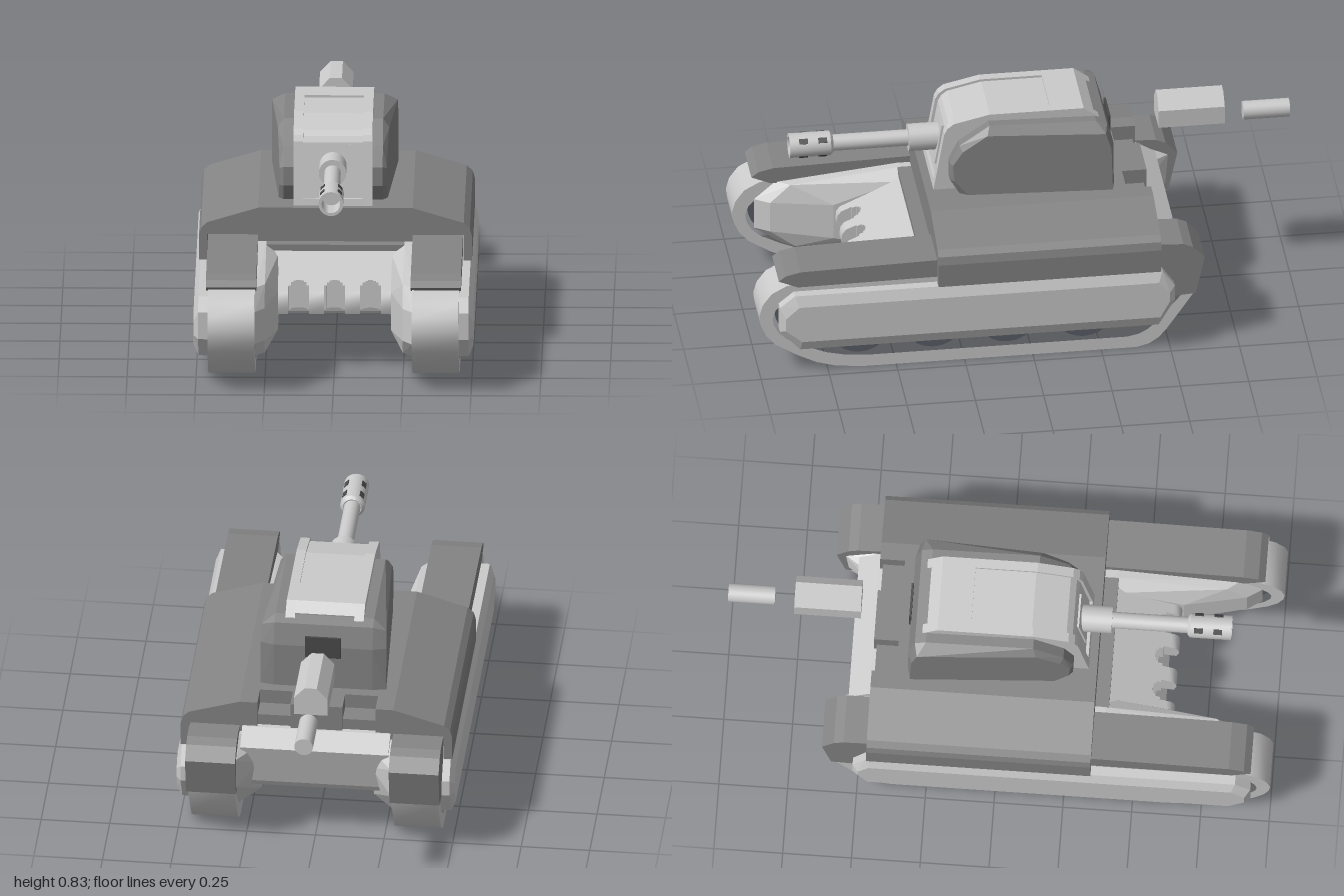
import * as THREE from 'three';
import { toCreasedNormals } from 'three/addons/utils/BufferGeometryUtils.js';
import { ConvexGeometry } from 'three/addons/geometries/ConvexGeometry.js';

const mat = (name, color) => {
  const m = new THREE.MeshStandardMaterial({ color });
  m.name = name;
  return m;
};

export function createModel() {
  const light = mat('light grey', 0xcacaca);
  const dark = mat('dark grey', 0x848484);
  const wheelGrey = mat('wheel grey', 0x5a6068);
  const black = mat('shadow grey', 0x4a4a4a);
  const model = new THREE.Group();
  const turret = new THREE.Group();
  turret.name = 'turret';
  turret.position.x = -0.01;
  model.add(turret);

  const add = (name, geo, material, parent = model) => {
    const m = new THREE.Mesh(geo, material);
    m.name = name;
    parent.add(m);
    return m;
  };
  const poly = pts => new THREE.Shape(pts.map(p => new THREE.Vector2(p[0], p[1])));
  // side profile of [z, y] points swept from x0 to x1
  const sweepX = (shape, x0, x1) => {
    const g = new THREE.ExtrudeGeometry(shape, { depth: x1 - x0, bevelEnabled: false });
    return g.rotateY(-Math.PI / 2).translate(x1, 0, 0);
  };
  // front profile of [x, y] points swept from z0 to z1
  const sweepZ = (pts, z0, z1) =>
    new THREE.ExtrudeGeometry(poly(pts), { depth: z1 - z0, bevelEnabled: false }).translate(0, 0, z0);
  // convex block through [x, [z, y] outline] sections
  const hull = sections => new ConvexGeometry(
    sections.flatMap(([x, pts]) => pts.map(([z, y]) => new THREE.Vector3(x, y, z))));
  const scaled = (pts, cz, cy, kz, ky) => pts.map(([z, y]) => [cz + (z - cz) * kz, cy + (y - cy) * ky]);
  const box = (w, h, d, x, y, z) => new THREE.BoxGeometry(w, h, d).translate(x, y, z);
  const rod = (r, z0, z1, y, seg = 24) =>
    new THREE.CylinderGeometry(r, r, z1 - z0, seg).rotateX(Math.PI / 2).translate(0, y, (z0 + z1) / 2);

  // Running gear outlines
  const trackOutline = [[1, 0.24], [0.995, 0.2], [0.975, 0.155], [0.94, 0.115], [0.86, 0.065], [0.79, 0.03],
    [0.72, 0.01], [0.62, 0], [-0.38, 0], [-0.425, 0.012], [-0.46, 0.035], [-0.49, 0.07], [-0.59, 0.215],
    [-0.6, 0.27], [-0.59, 0.32], [-0.55, 0.36], [-0.48, 0.375], [0.82, 0.37], [0.9, 0.36], [0.955, 0.33],
    [0.988, 0.285]];
  const trackShape = poly(trackOutline);
  trackShape.holes.push(new THREE.Path(
    scaled(trackOutline, 0.2, 0.187, 0.94, 0.75).map(p => new THREE.Vector2(p[0], p[1]))));
  const skirt = [[0.93, 0.19], [0.93, 0.29], [0.875, 0.335], [-0.47, 0.335], [-0.515, 0.27], [-0.515, 0.21],
    [-0.455, 0.11], [0.855, 0.11]];
  const skirtFace = [[0.91, 0.2], [0.91, 0.25], [0.86, 0.295], [-0.455, 0.295], [-0.495, 0.25], [-0.495, 0.215],
    [-0.46, 0.15], [0.85, 0.15]];
  const housing = [[0.92, 0.17], [0.92, 0.29], [0.84, 0.36], [0.4, 0.405], [-0.5, 0.405], [-0.6, 0.36],
    [-0.59, 0.24], [-0.46, 0.1], [0.82, 0.1]];
  const housingFace = [[0.64, 0.15], [0.64, 0.29], [0.4, 0.37], [-0.44, 0.37], [-0.5, 0.3], [-0.42, 0.14], [0.6, 0.14]];
  const frontFender = [[0.93, 0.385], [0.905, 0.405], [0.85, 0.418], [0.34, 0.43], [0.34, 0.36], [0.86, 0.355]];
  const rearFender = [[-0.45, 0.43], [-0.55, 0.425], [-0.585, 0.41], [-0.628, 0.365], [-0.595, 0.215],
    [-0.52, 0.21], [-0.45, 0.33]];

  for (const s of [1, -1]) {
    const span = (shape, a, b) => sweepX(shape, Math.min(s * a, s * b), Math.max(s * a, s * b));
    add('track', toCreasedNormals(span(trackShape, 0.285, 0.455), 0.6), light);
    add('outerSkirt', hull([[s * 0.45, skirt], [s * 0.49, skirt], [s * 0.507, skirtFace]]), light);
    add('innerHousing', hull([[s * 0.285, housing], [s * 0.25, scaled(housing, 0.15, 0.25, 0.93, 1)],
      [s * 0.205, housingFace]]), light);
    add('frontFender', span(poly(frontFender), 0.28, 0.462), dark);
    add('rearFender', span(poly(rearFender), 0.28, 0.462), dark);
    // Road wheels, each with a hub, and the front idler
    for (const [z, y, r] of [[0.85, 0.235, 0.09], [0.63, 0.165, 0.115], [0.36, 0.165, 0.115], [0.09, 0.165, 0.115],
      [-0.19, 0.165, 0.115], [-0.39, 0.18, 0.1]]) {
      add('wheel', new THREE.CylinderGeometry(r, r, 0.13, 24).rotateZ(Math.PI / 2).translate(s * 0.37, y, z), wheelGrey);
      add('wheelHub', new THREE.CylinderGeometry(r * 0.5, r * 0.5, 0.15, 16).rotateZ(Math.PI / 2)
        .translate(s * 0.37, y, z), wheelGrey);
    }
  }

  // Hull: dark belly, deck with two notches in its rear edge
  add('belly', box(0.5, 0.2, 0.9, 0, 0.305, -0.05), dark);
  const halfDeck = [[0.28, 0.53], [0.465, 0.475], [0.487, 0.455], [0.495, 0.425], [0.495, 0.335], [0.465, 0.335],
    [0.465, 0.43], [0.28, 0.43], [0.28, 0.405]];
  const mirrored = half => [...half, ...half.map(([x, y]) => [-x, y]).reverse()];
  add('deck', sweepZ(mirrored(halfDeck), -0.375, 0.35), dark);
  add('deckRearCentre', box(0.19, 0.125, 0.09, 0, 0.4675, -0.42), dark);
  for (const s of [1, -1]) {
    add('deckRearCorner', sweepZ([[0.215, 0.53], ...halfDeck, [0.215, 0.405]].map(([x, y]) => [s * x, y]),
      -0.465, -0.375), dark);
    add('deckNotchFloor', box(0.12, 0.07, 0.08, s * 0.155, 0.44, -0.415), dark);
  }
  add('rearPlate', sweepX(poly([[-0.44, 0.435], [-0.47, 0.43], [-0.545, 0.385], [-0.5, 0.22], [-0.44, 0.21]]),
    -0.27, 0.27), light);

  // Sloping nose cut by three arched recesses
  const slopeY = z => 0.405 - (z - 0.35) * 0.46;
  const noseStrip = (x0, x1, z) => add('nose', sweepX(poly([[0.3, 0.405], [0.35, 0.405], [z, slopeY(z)],
    [z, 0.21], [0.3, 0.21]]), x0, x1), light);
  const arch = 0.038;
  for (const [a, b] of [[-0.23, -0.168], [-0.092, -arch], [arch, 0.092], [0.168, 0.23]]) {
    noseStrip(a, b, 0.615);
    add('noseLip', toCreasedNormals(sweepX(poly([[0.6, 0.29], [0.617, 0.283], [0.63, 0.265], [0.634, 0.235],
      [0.625, 0.205], [0.6, 0.205]]), a, b), 0.7), light);
  }
  for (const cx of [-0.13, 0, 0.13]) {
    for (let i = 0; i < 8; i++) {
      const t = (i + 0.5) / 4 - 1;
      noseStrip(cx + (i / 4 - 1) * arch, cx + ((i + 1) / 4 - 1) * arch, 0.605 - 0.055 * Math.sqrt(1 - t * t));
    }
  }
  add('noseBelly', box(0.46, 0.008, 0.3, 0, 0.206, 0.45), dark);

  // Turret body with chamfered cheeks, wider at the rear
  const cheek = [[0.2, 0.53], [0.25, 0.59], [0.255, 0.655], [0.22, 0.71], [0.13, 0.775], [-0.3, 0.765],
    [-0.32, 0.7], [-0.325, 0.53]];
  const core = [[0.23, 0.53], [0.265, 0.59], [0.265, 0.66], [0.23, 0.73], [0.12, 0.805], [-0.27, 0.795],
    [-0.31, 0.78], [-0.333, 0.7], [-0.335, 0.53]];
  const bodyPoints = [1, -1].flatMap(s => [
    ...cheek.map(([z, y]) => new THREE.Vector3(s * (0.21 - z * 0.06), y, z)),
    ...core.map(([z, y]) => new THREE.Vector3(s * 0.18, y, z))]);
  add('turretBody', new ConvexGeometry(bodyPoints), dark, turret);

  // Armour band over the turret: raised rails and an inset centre
  const band = [[0.32, 0.53], [0.28, 0.76], [0.268, 0.782], [0.245, 0.8], [0.115, 0.83], [-0.23, 0.83],
    [-0.305, 0.775], [-0.305, 0.53]];
  const bandShape = poly(band);
  for (const s of [1, -1]) add('bandRail', sweepX(bandShape, s * 0.1255 - 0.0175, s * 0.1255 + 0.0175), light, turret);
  add('bandCentre', sweepX(poly(scaled(band, 0, 0.53, 0.965, 0.972)), -0.108, 0.108), light, turret);
  add('bandLowerLip', sweepX(poly([[0.25, 0.53], [0.32, 0.53], [0.316, 0.555], [0.25, 0.555]]), -0.108, 0.108), light, turret);
  add('bandRear', sweepX(poly([[-0.11, 0.8], [-0.11, 0.83], [-0.23, 0.83], [-0.27, 0.8]]), -0.108, 0.108), light, turret);
  const shield = add('gunShield', box(0.128, 0.16, 0.012, 0, 0, 0), light, turret);
  shield.position.set(0, 0.67, 0.286);
  shield.rotation.x = -0.17;

  // Opening in the turret rear
  add('rearOpening', box(0.13, 0.085, 0.008, 0, 0.7, -0.335), black, turret);

  // Gun with a hollow, slotted muzzle
  const gunY = 0.672;
  add('gunCollar', rod(0.05, 0.27, 0.395, gunY), light, turret);
  add('barrel', rod(0.03, 0.39, 0.69, gunY), light, turret);
  const muzzle = [[0, 0.68], [0.034, 0.67], [0.045, 0.68], [0.045, 0.83], [0.034, 0.83], [0.034, 0.72], [0, 0.72]];
  add('muzzle', toCreasedNormals(new THREE.LatheGeometry(muzzle.map(p => new THREE.Vector2(p[0], p[1])), 24)
    .rotateX(Math.PI / 2).translate(0, gunY, 0), 0.6), light, turret);
  for (let i = 0; i < 4; i++) {
    for (const z of [0.71, 0.78]) {
      add('muzzleSlot', box(0.02, 0.004, 0.032, 0, 0.0445, z).rotateZ(Math.PI / 4 + i * Math.PI / 2)
        .translate(0, gunY, 0), black, turret);
    }
  }

  // Separate block and rod behind the turret
  add('rearBlock', sweepZ(mirrored([[0.022, 0.787], [0.061, 0.745], [0.061, 0.675]]), -0.757, -0.515), light, turret);
  add('rearRod', rod(0.034, -1, -0.83, 0.688), light, turret);

  return model;
}
